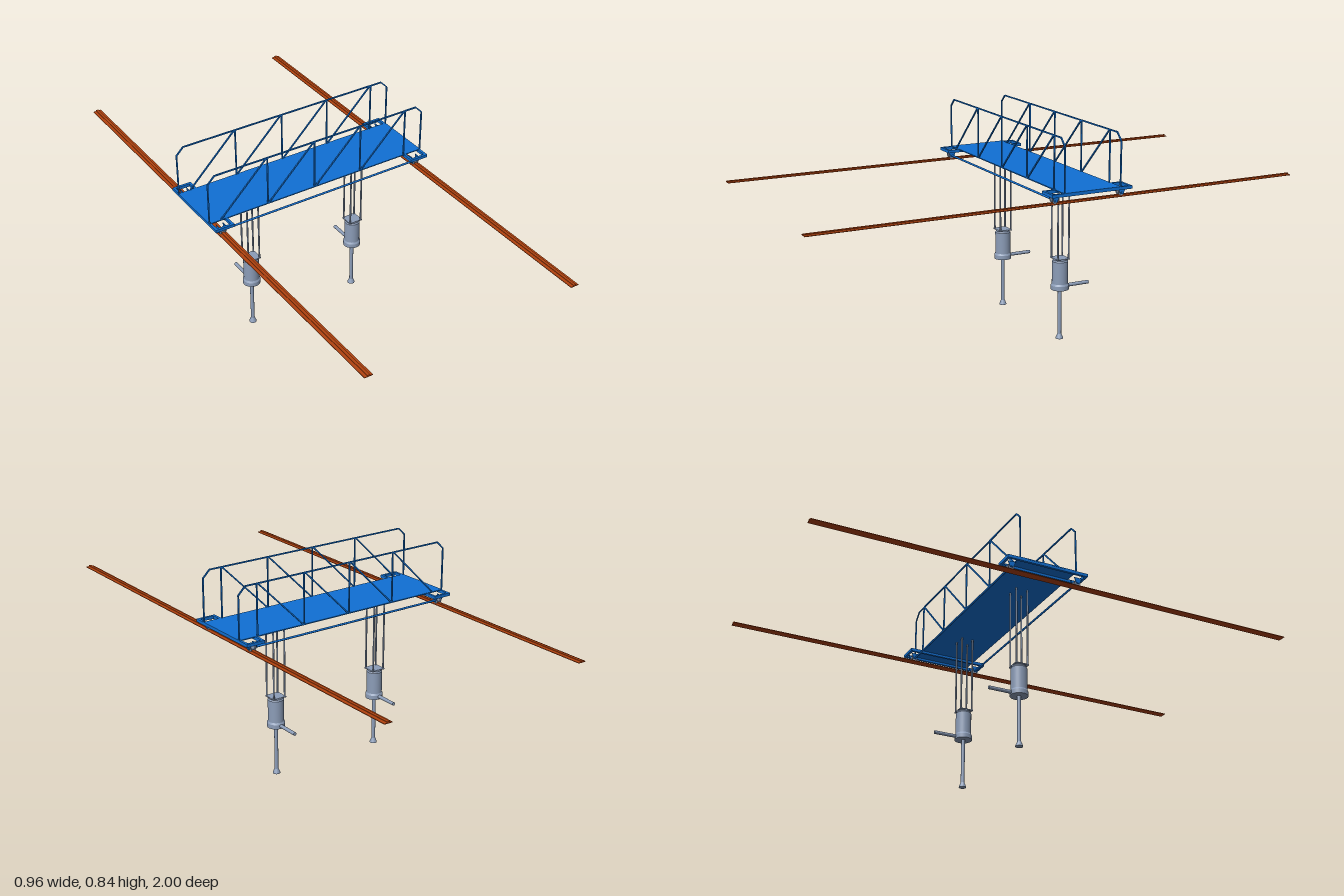
import * as THREE from 'three';

const paint = (color) => new THREE.MeshStandardMaterial({ color });
const blue = paint(0x1070d4), rust = paint(0xb0420f), steel = paint(0x8c9db8);
const V = (x, y, z) => new THREE.Vector3(x, y, z);
const DECK_Y = 0.64, MID_Z = -0.087, RAIL_X = 0.438;

function add(parent, name, geometry, material, x = 0, y = 0, z = 0) {
  const mesh = new THREE.Mesh(geometry, material);
  mesh.name = name;
  mesh.position.set(x, y, z);
  parent.add(mesh);
  return mesh;
}

const box = (parent, name, w, h, d, mat, x, y, z) =>
  add(parent, name, new THREE.BoxGeometry(w, h, d), mat, x, y, z);

// Bar between two points, square or round
function bar(parent, name, a, b, size, mat, round = false) {
  const length = a.distanceTo(b);
  const geometry = round
    ? new THREE.CylinderGeometry(size / 2, size / 2, length, 16)
    : new THREE.BoxGeometry(size, length, size);
  const mesh = add(parent, name, geometry, mat);
  mesh.position.copy(a).add(b).multiplyScalar(0.5);
  mesh.quaternion.setFromUnitVectors(V(0, 1, 0), b.clone().sub(a).normalize());
  return mesh;
}

// Closed outline extruded along z, centred
function prism(points, depth) {
  const shape = new THREE.Shape(points.map(([x, y]) => new THREE.Vector2(x, y)));
  return new THREE.ExtrudeGeometry(shape, { depth, bevelEnabled: false }).translate(0, 0, -depth / 2);
}

// Lathe with sharp profile corners: each straight segment is its own surface
function turned(parent, name, profile, mat) {
  const group = new THREE.Group();
  group.name = name;
  for (let i = 0; i < profile.length - 1; i++) {
    const pts = [profile[i], profile[i + 1]].map(([r, y]) => new THREE.Vector2(r, y));
    add(group, name + 'Section', new THREE.LatheGeometry(pts, 32), mat);
  }
  parent.add(group);
  return group;
}

// Truss side railing with chamfered top corners
function makeRailing(z) {
  const g = new THREE.Group();
  g.name = 'railing';
  const top = 0.838, end = 0.477, t = 0.005;
  const path = [[-end, DECK_Y], [-end, 0.809], [-0.448, top], [0.448, top], [end, 0.809], [end, DECK_Y]];
  for (let i = 0; i < path.length - 1; i++) {
    bar(g, 'railingFrame', V(...path[i], z), V(...path[i + 1], z), t, blue);
  }
  for (const x of [-0.225, -0.018, 0.19, 0.398]) {
    bar(g, 'railingPost', V(x, DECK_Y, z), V(x, top, z), t, blue);
    bar(g, 'railingDiagonal', V(x - 0.203, DECK_Y, z), V(x - 0.004, top, z), t, blue);
  }
  return g;
}

// Rectangular end frame carrying the wheels
function makeEndFrame(side) {
  const g = new THREE.Group();
  g.name = 'endFrame';
  const w = 0.078, d = 0.335, t = 0.01, h = 0.012, y = 0.633;
  for (const s of [-1, 1]) {
    box(g, 'frameSideBeam', t, h, d, blue, side * 0.439 + s * (w - t) / 2, y, MID_Z);
    box(g, 'frameEndBeam', w, h, t, blue, side * 0.439, y, MID_Z + s * (d - t) / 2);
  }
  return g;
}

// Grooved wheel with its pair of tapered hangers
function makeWheel(x, z) {
  const g = new THREE.Group();
  g.name = 'wheelAssembly';
  g.position.set(x, 0.61, z);
  const wheel = turned(g, 'wheel', [
    [0, -0.010], [0.0125, -0.010], [0.0125, -0.007], [0.009, -0.006],
    [0.009, 0.006], [0.0125, 0.007], [0.0125, 0.010], [0, 0.010],
  ], steel);
  wheel.rotation.z = Math.PI / 2;
  const hanger = prism([[-0.006, -0.006], [0.006, -0.006], [0.016, 0.018], [-0.016, 0.018]], 0.003);
  for (const s of [-1, 1]) {
    add(g, 'wheelHanger', hanger, blue, s * 0.0135).rotation.y = Math.PI / 2;
  }
  return g;
}

// Suspended pump with suction pipe, outlet and four hanger rods
function makePump(x) {
  const g = new THREE.Group();
  g.name = 'pump';
  g.position.set(x, 0, MID_Z);
  turned(g, 'suctionPipe', [
    [0, 0], [0.0145, 0], [0.0145, 0.003], [0.0075, 0.02], [0.0075, 0.2],
  ], steel);
  turned(g, 'pumpBody', [
    [0, 0.2], [0.035, 0.2], [0.035, 0.217], [0.031, 0.224],
    [0.031, 0.312], [0.027, 0.317], [0.027, 0.322], [0, 0.322],
  ], steel);
  box(g, 'topPlate', 0.059, 0.004, 0.055, steel, 0, 0.323, 0);
  bar(g, 'outletPipe', V(0, 0.211, -0.02), V(0, 0.211, -0.125), 0.014, steel, true);
  for (const sx of [-1, 1]) for (const sz of [-1, 1]) {
    bar(g, 'hangerRod', V(sx * 0.025, 0.322, sz * 0.0235), V(sx * 0.025, DECK_Y - 0.002, sz * 0.0235), 0.007, steel, true);
  }
  return g;
}

export function createModel() {
  const model = new THREE.Group();
  model.name = 'rollingPumpBridge';

  // Walkway
  box(model, 'deck', 0.957, 0.004, 0.238, blue, 0, DECK_Y - 0.002, MID_Z);
  for (const s of [-1, 1]) model.add(makeRailing(MID_Z + s * 0.117));

  // Ground rails with an I-shaped section
  const railShape = prism([
    [-0.0165, 0], [0.0165, 0], [0.0165, 0.0025], [0.003, 0.0035],
    [0.003, 0.0045], [0.0055, 0.005], [0.0055, 0.007],
    [-0.0055, 0.007], [-0.0055, 0.005], [-0.003, 0.0045],
    [-0.003, 0.0035], [-0.0165, 0.0025],
  ], 2);
  for (const side of [-1, 1]) {
    add(model, 'track', railShape, rust, side * RAIL_X, 0.5945, 0);
    model.add(makeEndFrame(side));
    for (const s of [-1, 1]) model.add(makeWheel(side * RAIL_X, MID_Z + s * 0.139));
    model.add(makePump(side * 0.24));
  }

  // Axles linking opposite wheels
  for (const s of [-1, 1]) {
    const z = MID_Z + s * 0.139;
    bar(model, 'axle', V(-0.455, 0.61, z), V(0.455, 0.61, z), 0.008, blue, true);
  }
  return model;
}
